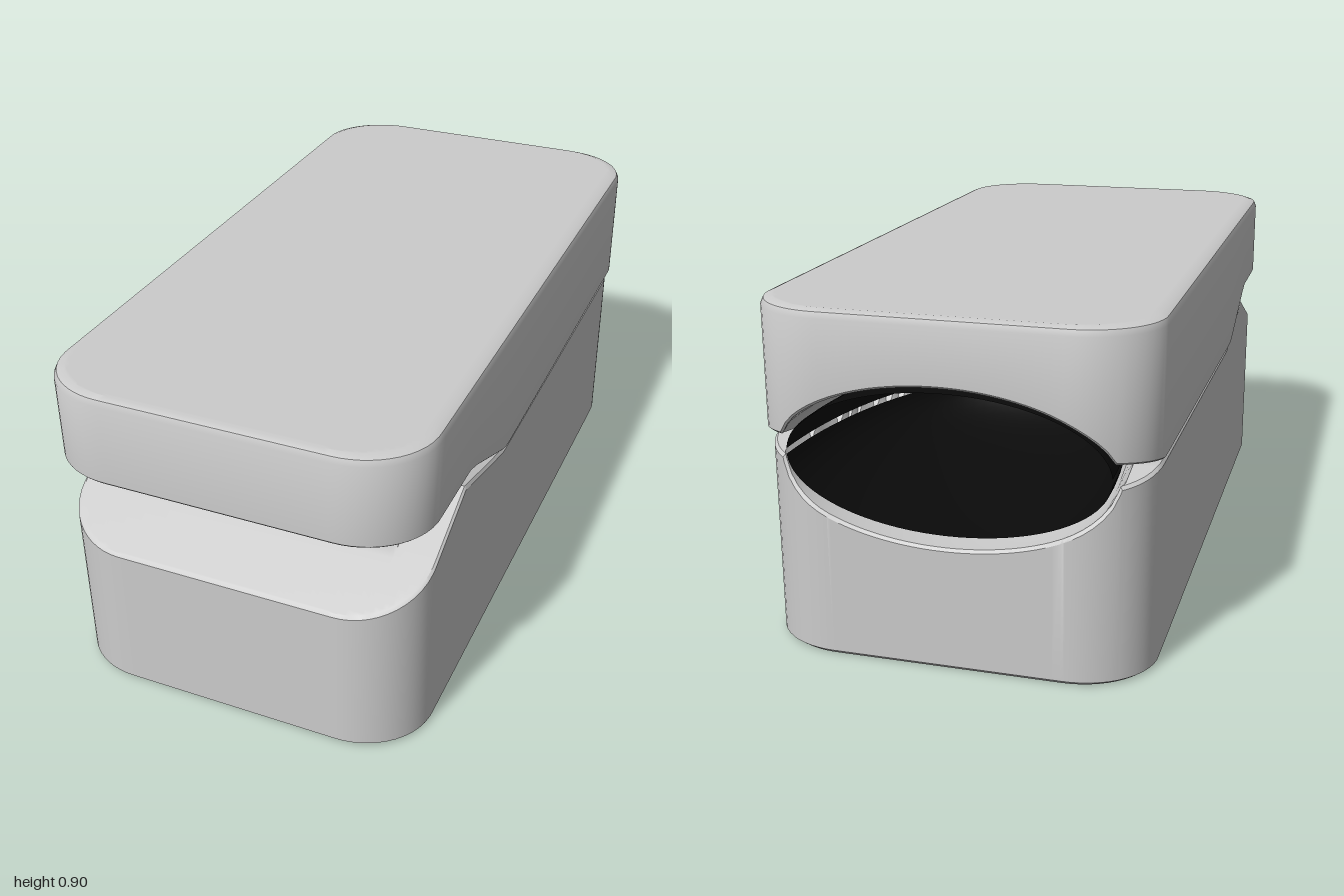
import * as THREE from 'three';
import { toCreasedNormals } from 'three/addons/utils/BufferGeometryUtils.js';

const grey = new THREE.MeshStandardMaterial({ color: 0xcccccc });
const black = new THREE.MeshStandardMaterial({ color: 0x0a0a0a, side: THREE.DoubleSide });

// piecewise linear profile through [z, y] points
function profile(points, z) {
  for (let i = 1; i < points.length; i++) {
    const [z0, y0] = points[i - 1], [z1, y1] = points[i];
    if (z <= z1) return y0 + (y1 - y0) * Math.max(0, (z - z0) / (z1 - z0));
  }
  return points[points.length - 1][1];
}

const lowerEdge = [[-0.99, 0.45], [-0.95, 0.51], [-0.84, 0.53], [0.28, 0.515], [0.42, 0.55], [0.6, 0.6], [0.8, 0.512], [0.99, 0.425]];
const upperEdge = [[-1, 0.6], [-0.97, 0.572], [-0.84, 0.55], [0.28, 0.53], [0.32, 0.54], [0.55, 0.635], [0.6, 0.65], [1, 0.65]];

// depth of the ellipsoid finger pocket, open at the back
const scoop = (x, z) => Math.sqrt(Math.max(0, 1 - (x / 0.43) ** 2 - ((z + 1) / 0.82) ** 2));

function lowerTop(x, z) {
  let y = profile(lowerEdge, z);
  if (Math.abs(x) < 0.39 && z > 0.28) y = Math.min(y, 0.51);
  const s = scoop(x, z);
  return s > 0 ? Math.min(y, 0.525 - 0.2 * s) : y;
}

function upperBottom(x, z) {
  const y = profile(upperEdge, z), s = scoop(x, z);
  return s > 0 ? Math.max(y, 0.53 + 0.2 * s) : y;
}

// Solid with a rounded-rectangle plan between two height functions.
// Each ring is { inset, y(x, z) }, from the bottom cap to the top cap.
function shell(W, L, extraZ, rings) {
  const xs = [-0.395, -0.385, 0.385, 0.395], zs = [...extraZ];
  for (let i = 0; i <= 48; i++) xs.push(W * (i / 24 - 1));
  for (let i = 0; i <= 64; i++) zs.push(L * Math.sin((i / 32 - 1) * Math.PI / 2));
  xs.sort((a, b) => a - b);
  zs.sort((a, b) => a - b);
  const nx = xs.length, nz = zs.length;
  const halfWidth = z => {
    const t = Math.max(0, (Math.abs(z) - (L - 0.18)) / 0.18);
    return W - 0.2 + 0.2 * Math.sqrt(Math.max(0, 1 - t * t));
  };
  const pos = [], index = [];
  const add = (i, j, ring) => {
    const z = zs[i], w = halfWidth(z), x = THREE.MathUtils.clamp(xs[j], -w, w);
    pos.push(x * (W - ring.inset) / W, ring.y(x, z), z * (L - ring.inset) / L);
    return pos.length / 3 - 1;
  };
  const quad = (a, b, c, d) => index.push(a, b, c, a, c, d);

  // bottom and top caps
  for (const top of [false, true]) {
    const ring = top ? rings[rings.length - 1] : rings[0];
    const start = pos.length / 3;
    for (let i = 0; i < nz; i++) for (let j = 0; j < nx; j++) add(i, j, ring);
    for (let i = 0; i < nz - 1; i++) for (let j = 0; j < nx - 1; j++) {
      const a = start + i * nx + j, b = a + nx;
      if (top) quad(a, b, b + 1, a + 1);
      else quad(a, a + 1, b + 1, b);
    }
  }

  // walls around the outline
  const edge = [];
  for (let j = 0; j < nx - 1; j++) edge.push([nz - 1, j]);
  for (let i = nz - 1; i > 0; i--) edge.push([i, nx - 1]);
  for (let j = nx - 1; j > 0; j--) edge.push([0, j]);
  for (let i = 0; i < nz - 1; i++) edge.push([i, 0]);
  const loops = rings.map(r => edge.map(([i, j]) => add(i, j, r)));
  for (let k = 0; k < loops.length - 1; k++) {
    for (let e = 0; e < edge.length; e++) {
      const n = (e + 1) % edge.length;
      quad(loops[k][e], loops[k][n], loops[k + 1][n], loops[k + 1][e]);
    }
  }
  const geo = new THREE.BufferGeometry();
  geo.setAttribute('position', new THREE.Float32BufferAttribute(pos, 3));
  geo.setIndex(index);
  return toCreasedNormals(geo, 0.6);
}

export function createModel() {
  const model = new THREE.Group();
  const part = (name, geo, mat = grey) => {
    const mesh = new THREE.Mesh(geo, mat);
    mesh.name = name;
    model.add(mesh);
    return mesh;
  };

  // lower half with sloping nose and hinge channel
  part('lowerShell', shell(0.5, 0.99, [-0.95, -0.84, 0.275, 0.285, 0.42, 0.6, 0.8], [
    { inset: 0.01, y: () => 0 },
    { inset: 0, y: () => 0.01 },
    { inset: 0, y: (x, z) => lowerTop(x, z) - 0.008 },
    { inset: 0.006, y: lowerTop },
  ]));

  // upper half with flat lid and softened rim
  part('upperShell', shell(0.51, 1, [-0.97, -0.84, 0.28, 0.32, 0.55, 0.6], [
    { inset: 0.004, y: upperBottom },
    { inset: 0, y: (x, z) => upperBottom(x, z) + 0.005 },
    { inset: 0, y: () => 0.878 },
    { inset: 0.006, y: () => 0.893 },
    { inset: 0.022, y: () => 0.9 },
  ]));

  // dark finger pads lining the two pockets
  for (const [name, start] of [['upperPad', 0], ['lowerPad', Math.PI / 2 + 0.04]]) {
    const geo = new THREE.SphereGeometry(1, 40, 20, 0, Math.PI, start, Math.PI / 2 - 0.04);
    geo.scale(0.41, 0.18, 0.76);
    part(name, geo, black).position.set(0, 0.527, -0.965);
  }

  // hinge ribs hanging under the lid, arched at the rear
  const side = new THREE.Shape();
  side.moveTo(0.8, 0.655);
  side.lineTo(0.8, 0.51);
  side.lineTo(0.62, 0.51);
  side.lineTo(0.58, 0.6);
  side.quadraticCurveTo(0.48, 0.64, 0.42, 0.55);
  side.lineTo(0.4, 0.575);
  side.lineTo(0.55, 0.64);
  side.lineTo(0.6, 0.655);
  for (const x of [-0.405, -0.105, 0.19]) {
    const geo = new THREE.ExtrudeGeometry(side, { depth: 0.148, bevelEnabled: false, curveSegments: 8 });
    geo.rotateY(-Math.PI / 2); // profile z along +z, depth along -x
    part('hingeRib', geo).position.x = x + 0.148;
  }

  // bar joining the ribs
  const bar = part('hingeBar', new THREE.BoxGeometry(0.74, 0.025, 0.2));
  bar.position.set(-0.035, 0.6425, 0.698);
  return model;
}
